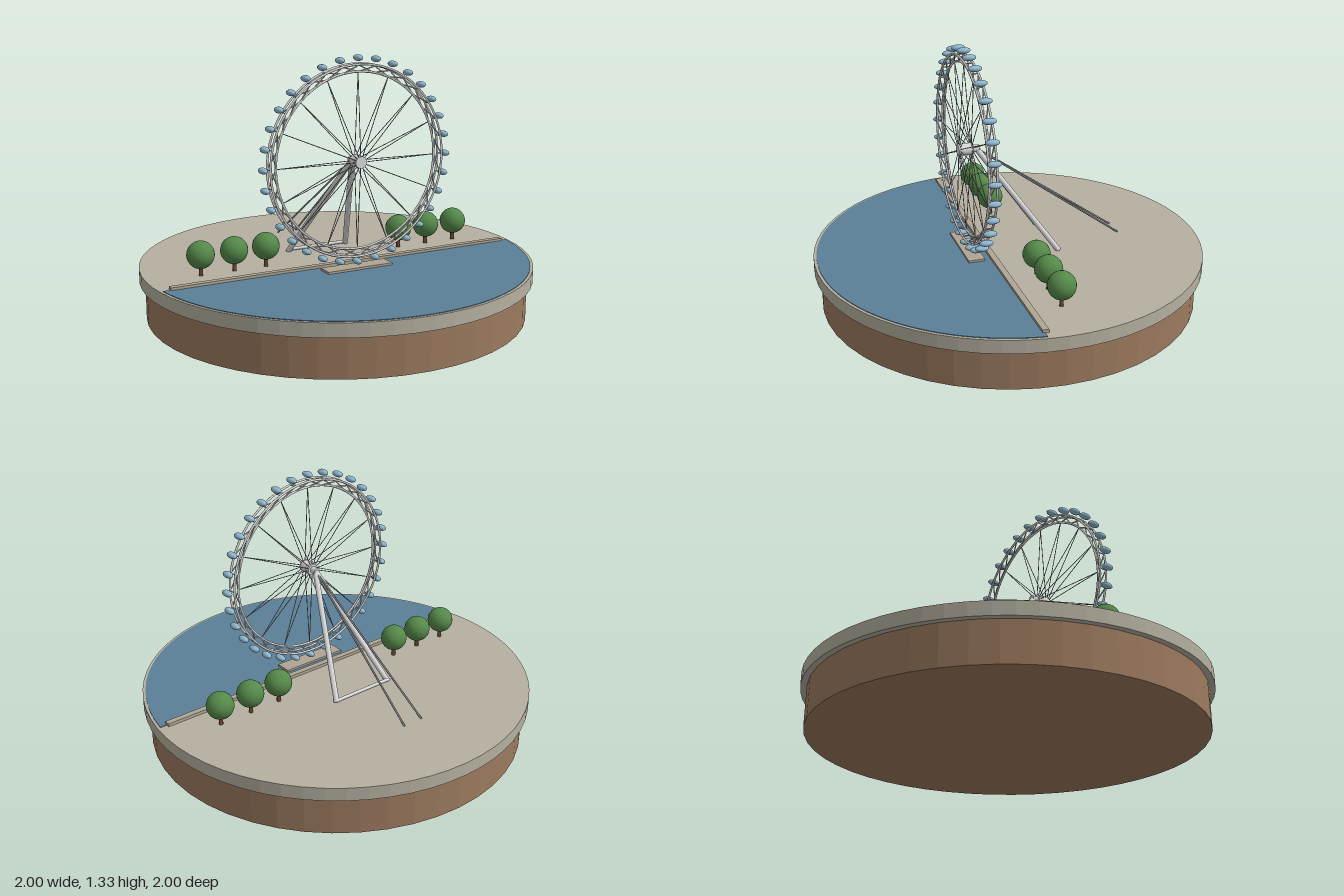
import * as THREE from 'three';

const mat = (name, color, extra = {}) => {
  const m = new THREE.MeshStandardMaterial({ color, ...extra });
  m.name = name;
  return m;
};

export function createModel() {
  const earth = mat('earth', 0x9c7a5e, { flatShading: true });
  const paving = mat('paving', 0xb5b0a0, { flatShading: true });
  const stone = mat('stone', 0xb0a593);
  const water = mat('water', 0x5b7f98);
  const white = mat('whiteSteel', 0xd8d8d8);
  const steel = mat('cableSteel', 0x8e9094);
  const glass = mat('glass', 0x8fb8d0);
  const leaf = mat('leaf', 0x55894a);
  const bark = mat('bark', 0x6b4a30);

  const model = new THREE.Group();
  const add = (parent, name, geo, material, x = 0, y = 0, z = 0) => {
    const m = new THREE.Mesh(geo, material);
    m.name = name;
    m.position.set(x, y, z);
    parent.add(m);
    return m;
  };
  // Round bar between two points
  const bar = (parent, name, a, b, r, material, sides = 8) => {
    const d = b.clone().sub(a);
    const m = add(parent, name, new THREE.CylinderGeometry(r, r, d.length(), sides), material);
    m.position.copy(a).addScaledVector(d, 0.5);
    m.quaternion.setFromUnitVectors(new THREE.Vector3(0, 1, 0), d.normalize());
    return m;
  };
  const v = (x, y, z) => new THREE.Vector3(x, y, z);
  const G = 0.268; // ground level

  // Round plinth
  add(model, 'earthBase', new THREE.CylinderGeometry(0.97, 0.97, 0.2, 48), earth, 0, 0.1, 0);
  add(model, 'groundSlab', new THREE.CylinderGeometry(1, 1, G - 0.2, 64), paving, 0, (G + 0.2) / 2, 0);

  // Everything on the plinth follows the slanted river bank
  const site = new THREE.Group();
  site.name = 'riverSite';
  site.rotation.y = -Math.PI / 9;
  model.add(site);

  // River: circle segment beyond the bank
  const bankZ = 0.135, R = 0.985;
  const a0 = Math.asin(bankZ / R);
  const river = new THREE.Shape();
  river.absarc(0, 0, R, a0, Math.PI - a0, false);
  river.closePath();
  const riverGeo = new THREE.ExtrudeGeometry(river, { depth: 0.003, bevelEnabled: false, curveSegments: 48 });
  riverGeo.rotateX(Math.PI / 2);
  add(site, 'river', riverGeo, water, 0, G + 0.003, 0);

  // Bank wall and boarding platform
  add(site, 'bankWall', new THREE.BoxGeometry(1.88, 0.016, 0.031), stone, 0, G + 0.008, 0.132);
  add(site, 'boardingPlatform', new THREE.BoxGeometry(0.36, 0.014, 0.085), stone, 0, G + 0.007, 0.222);

  // Trees
  const crownGeo = new THREE.SphereGeometry(0.069, 20, 14);
  const trunkGeo = new THREE.CylinderGeometry(0.009, 0.011, 0.06, 8);
  for (const side of [-1, 1]) for (const x of [0.385, 0.555, 0.73]) {
    const tree = new THREE.Group();
    tree.name = 'tree';
    tree.position.set(side * x, G, -0.02);
    site.add(tree);
    add(tree, 'trunk', trunkGeo, bark, 0, 0.03, 0);
    add(tree, 'crown', crownGeo, leaf, 0, 0.105, 0);
  }

  // Wheel
  const wheel = new THREE.Group();
  wheel.name = 'wheel';
  wheel.position.set(0, 0.808, 0.225);
  site.add(wheel);
  const N = 32, outerR = 0.473, innerR = 0.437, halfW = 0.02;
  const onRim = (r, step, z) => {
    const t = (step / N) * Math.PI * 2;
    return v(r * Math.sin(t), r * Math.cos(t), z);
  };

  // Triangular rim truss: two outer rings, one inner ring, lacing
  for (const z of [-halfW, halfW]) {
    add(wheel, 'outerRing', new THREE.TorusGeometry(outerR, 0.006, 6, 96), white, 0, 0, z);
  }
  add(wheel, 'innerRing', new THREE.TorusGeometry(innerR, 0.006, 6, 96), white);
  for (let i = 0; i < N; i++) {
    bar(wheel, 'rimLacing', onRim(innerR, i, 0), onRim(outerR, i + 1, halfW), 0.0035, white, 5);
    bar(wheel, 'rimLacing', onRim(innerR, i + 1, 0), onRim(outerR, i, -halfW), 0.0035, white, 5);
    bar(wheel, 'rimTie', onRim(outerR, i, -halfW), onRim(outerR, i, halfW), 0.003, white, 5);
  }

  // Hub and spokes from both hub ends
  add(wheel, 'hub', new THREE.CylinderGeometry(0.03, 0.03, 0.075, 20), white).rotation.x = Math.PI / 2;
  for (let i = 0; i < N; i += 2) for (const z of [-0.03, 0.03]) {
    bar(wheel, 'spoke', onRim(0.025, i, z), onRim(innerR, i, 0), 0.002, steel, 5);
  }

  // Passenger capsules stay level around the rim
  const capsuleGeo = new THREE.SphereGeometry(1, 16, 10).scale(0.02, 0.0155, 0.035);
  for (let i = 0; i < N; i++) {
    add(wheel, 'capsule', capsuleGeo, glass).position.copy(onRim(0.503, i, 0));
  }

  // Support frame behind the wheel
  const apex = v(0, 0.808, 0.168);
  bar(site, 'spindle', v(0, 0.808, 0.155), v(0, 0.808, 0.2), 0.018, white, 16);
  for (const s of [-1, 1]) {
    bar(site, 'supportLeg', v(s * 0.17, G, -0.216), apex, 0.0145, white, 12);
    bar(site, 'backstayCable', v(s * 0.055, G, -0.593), apex, 0.005, steel, 6);
  }
  bar(site, 'footBeam', v(-0.17, G + 0.01, -0.216), v(0.17, G + 0.01, -0.216), 0.009, white, 10);

  return model;
}
